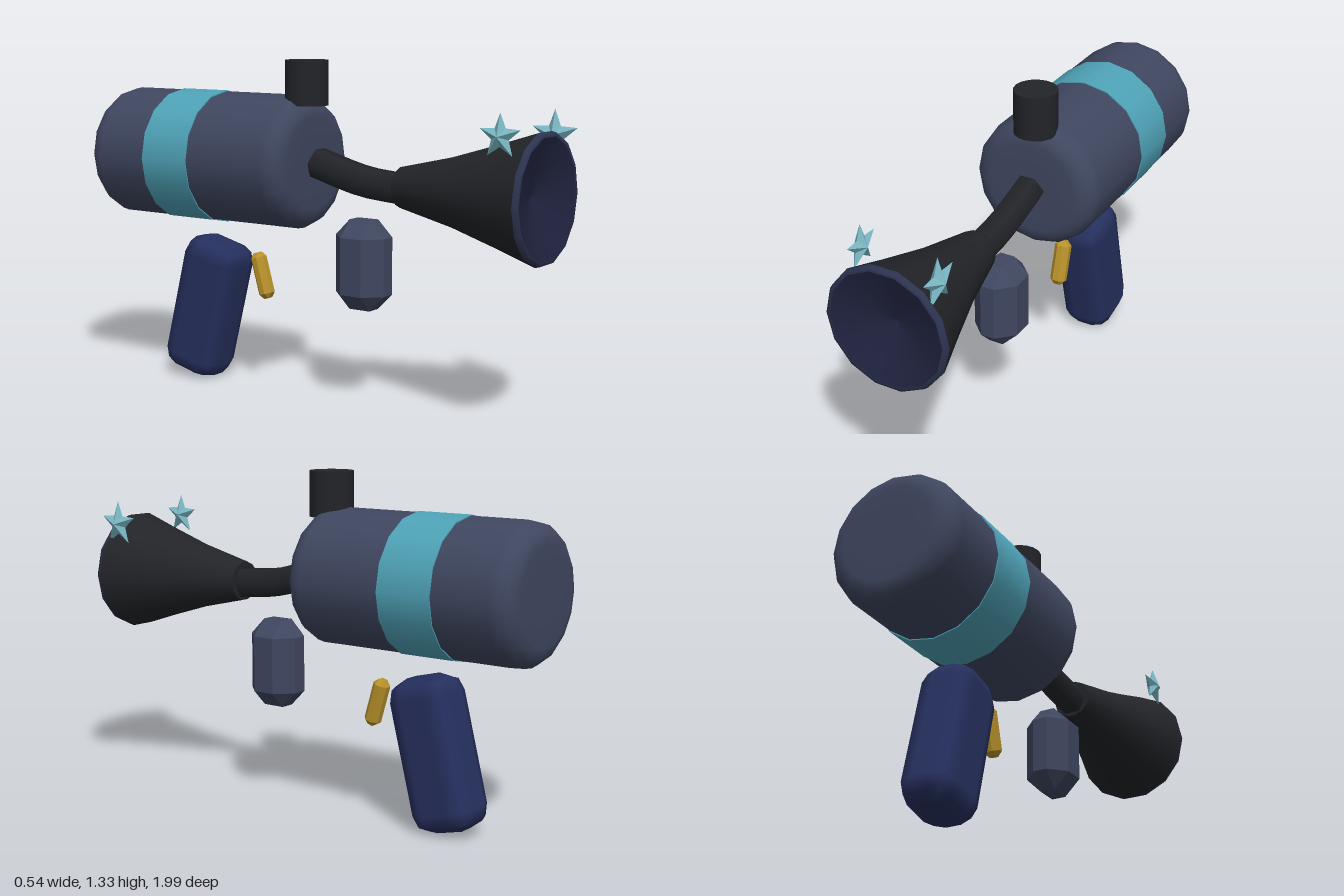
import * as THREE from 'three';
import { RoundedBoxGeometry } from 'three/addons/geometries/RoundedBoxGeometry.js';
import { ConvexGeometry } from 'three/addons/geometries/ConvexGeometry.js';

const mat = (color, extra = {}) => new THREE.MeshStandardMaterial({ color, ...extra });

// Profile of [radius, z] pairs, rear to front, turned around the z axis
function turned(profile, sides, start = 0) {
  const pts = profile.map(([r, z]) => new THREE.Vector2(r, z));
  return new THREE.LatheGeometry(pts, sides, start).rotateX(Math.PI / 2);
}

// Box with every edge and corner cut by c
function chamferBox(w, h, d, c) {
  const pts = [];
  const half = [w / 2, h / 2, d / 2];
  for (const sx of [-1, 1]) for (const sy of [-1, 1]) for (const sz of [-1, 1]) {
    for (let axis = 0; axis < 3; axis++) {
      const p = half.map((v, i) => (i === axis ? v : v - c));
      pts.push(new THREE.Vector3(p[0] * sx, p[1] * sy, p[2] * sz));
    }
  }
  return new ConvexGeometry(pts);
}

// Faceted five-pointed star lying in the yz plane, thickest at its centre
function starGeometry(R, r, t) {
  const pos = [];
  const at = (i) => {
    const a = (i * Math.PI) / 5;
    const rad = i % 2 ? r : R;
    return [0, rad * Math.cos(a), rad * Math.sin(a)];
  };
  for (let i = 0; i < 10; i++) {
    pos.push(t, 0, 0, ...at(i), ...at(i + 1));
    pos.push(-t, 0, 0, ...at(i + 1), ...at(i));
  }
  const g = new THREE.BufferGeometry();
  g.setAttribute('position', new THREE.Float32BufferAttribute(pos, 3));
  g.computeVertexNormals();
  return g;
}

export function createModel() {
  const model = new THREE.Group();
  model.name = 'hornBlaster';
  const slate = mat(0x3f4760);
  const black = mat(0x222428, { side: THREE.DoubleSide });
  const add = (name, geometry, material, x, y, z) => {
    const m = new THREE.Mesh(geometry, material);
    m.name = name;
    m.position.set(x, y, z);
    model.add(m);
    return m;
  };

  // Tank with rounded ends
  const R = 0.264, c = 0.08;
  const tank = [[0, -1], [0.1, -1]];
  for (let i = 0; i <= 4; i++) {
    const a = (i * Math.PI) / 8;
    tank.push([R - c + c * Math.sin(a), -1 + c - c * Math.cos(a)]);
  }
  for (let i = 4; i >= 0; i--) {
    const a = (i * Math.PI) / 8;
    tank.push([R - c + c * Math.sin(a), -0.03 - c + c * Math.cos(a)]);
  }
  tank.push([0.1, -0.03], [0, -0.03]);
  add('tank', turned(tank, 16), slate, 0, 0.935, 0);

  // Coloured band around the tank
  const band = new THREE.CylinderGeometry(0.268, 0.268, 0.225, 16).rotateX(Math.PI / 2);
  add('tankBand', band, mat(0x4fa3b8), 0, 0.935, -0.577);

  // Filler cap on top
  add('fillerCap', new THREE.CylinderGeometry(0.085, 0.085, 0.175, 16), black, 0, 1.247, -0.068);

  // Bent hexagonal neck
  const neck = new THREE.CatmullRomCurve3([
    new THREE.Vector3(0, 0.94, -0.02),
    new THREE.Vector3(0, 0.882, 0.2),
    new THREE.Vector3(0, 0.865, 0.375),
  ]);
  add('neck', new THREE.TubeGeometry(neck, 6, 0.063, 6), black, 0, 0, 0);

  // Flared horn, its lip and the shallow dish inside
  const horn = [[0, 0.37], [0.078, 0.37], [0.079, 0.373], [0.132, 0.6], [0.19, 0.79], [0.243, 0.953]];
  add('horn', turned(horn, 14, Math.PI / 2), black, 0, 0.872, 0);
  const lip = [[0.243, 0.953], [0.238, 0.972], [0.225, 0.972]];
  add('hornLip', turned(lip, 14, Math.PI / 2), mat(0x2c3350, { side: THREE.DoubleSide }), 0, 0.872, 0);
  const dish = turned([[0.225, 0.972], [0.12, 0.935], [0, 0.9]], 14, Math.PI / 2);
  add('hornDish', dish, mat(0x20233f, { side: THREE.DoubleSide }), 0, 0.872, 0);

  // Star ornaments on the horn
  const starMat = mat(0x7ab8c4);
  add('rightStar', starGeometry(0.083, 0.036, 0.028), starMat, -0.157, 1.1, 0.86);
  add('leftStar', starGeometry(0.094, 0.04, 0.03), starMat, 0.176, 1.083, 0.905);

  // Grips and trigger
  add('foreGrip', chamferBox(0.187, 0.35, 0.22, 0.064), slate, 0, 0.56, 0.2);
  const handle = new RoundedBoxGeometry(0.22, 0.59, 0.27, 1, 0.08);
  add('handle', handle, mat(0x26305f), 0, 0.307, -0.568).rotation.x = 0.25;
  add('trigger', chamferBox(0.065, 0.19, 0.062, 0.02), mat(0xb8922a), 0, 0.463, -0.288).rotation.x = -0.28;

  return model;
}
